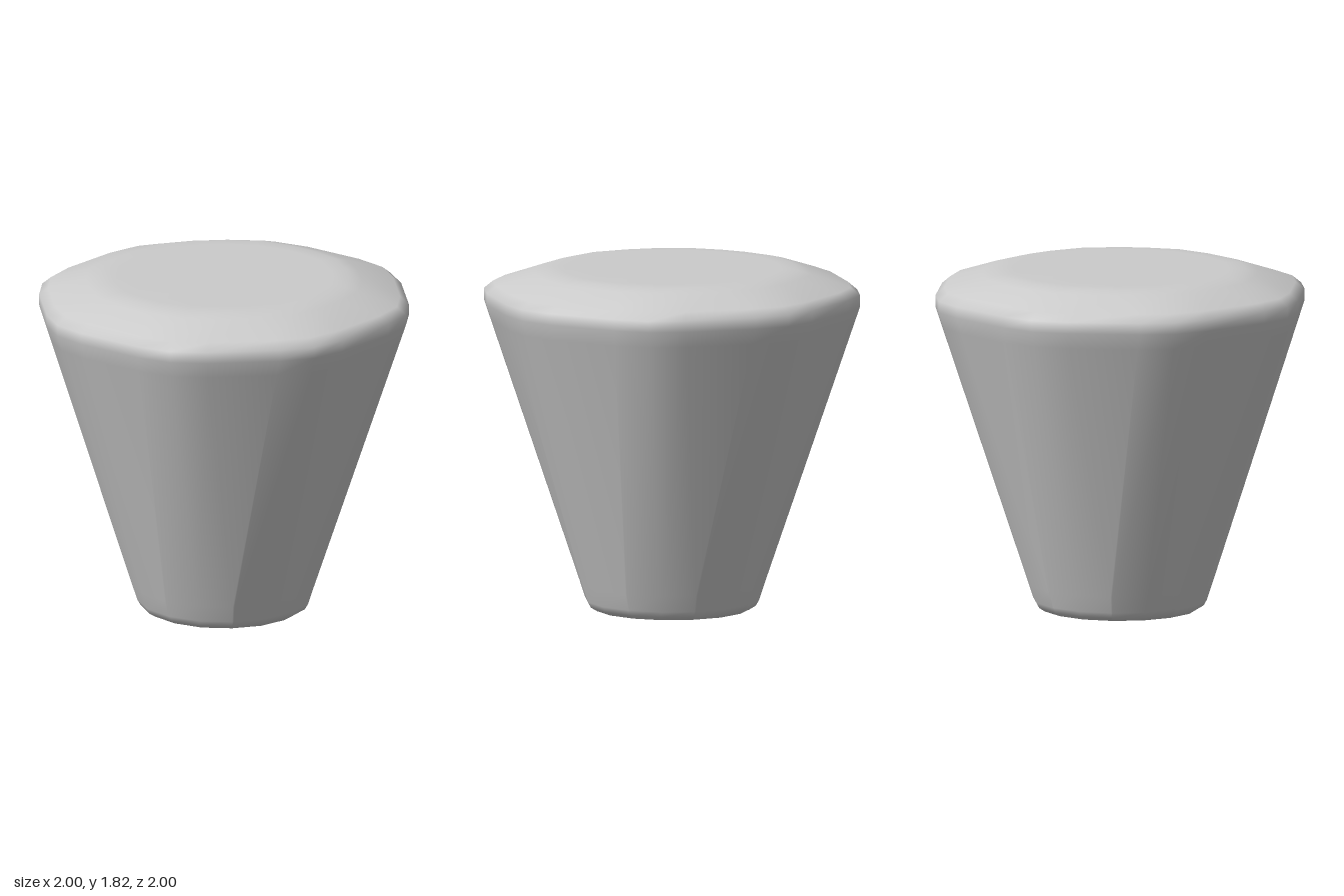
import * as THREE from 'three';

const SIDES = 8, PER = 3, N = SIDES * PER;

// One octagonal ring of circumradius R with rounded corners:
// per corner a point before it, on it, and after it.
function ring(R, y) {
  const t = Math.min(0.205, R * Math.sin(Math.PI / SIDES) * 0.98);
  const dx = t * Math.sin(Math.PI / SIDES), dz = t * Math.cos(Math.PI / SIDES);
  const local = [[R - dx, -dz], [R - dx / 2, 0], [R - dx, dz]];
  const pts = [];
  for (let k = 0; k < SIDES; k++) {
    const a = k * 2 * Math.PI / SIDES, c = Math.cos(a), s = Math.sin(a);
    for (const [x, z] of local) pts.push(x * c - z * s, y, x * s + z * c);
  }
  return pts;
}

// Closed skin through a list of [radius, height] rings, bottom to top
function loftRings(profile) {
  const pos = profile.flatMap(([R, y]) => ring(R, y));
  const idx = [];
  for (let i = 0; i < profile.length - 1; i++) {
    for (let j = 0; j < N; j++) {
      const a = i * N + j, b = i * N + (j + 1) % N;
      idx.push(a, a + N, b, b, a + N, b + N);
    }
  }
  // Centre points closing both ends
  const low = profile.length * N, high = low + 1, last = low - N;
  pos.push(0, profile[0][1], 0, 0, profile[profile.length - 1][1], 0);
  for (let j = 0; j < N; j++) {
    const n = (j + 1) % N;
    idx.push(low, j, n, high, last + n, last + j);
  }
  const g = new THREE.BufferGeometry();
  g.setAttribute('position', new THREE.Float32BufferAttribute(pos, 3));
  g.setIndex(idx);
  g.computeVertexNormals();
  return g;
}

export function createModel() {
  const group = new THREE.Group();
  group.name = 'taperedKnob';
  const material = new THREE.MeshStandardMaterial({ color: 0xcccccc });
  const profile = [
    [0.15, 0.10], [0.36, 0.02], [0.41, 0.0],               // recessed underside
    [0.445, 0.0], [0.48, 0.02], [0.498, 0.05],             // rounded foot
    [0.53, 0.14], [1.01, 1.545], [1.039, 1.63],            // tapered sides
    [1.039, 1.69], [0.99, 1.73],                           // rim
    [0.78, 1.797], [0.71, 1.815], [0.62, 1.818],           // chamfer and flat top
  ];
  const body = new THREE.Mesh(loftRings(profile), material);
  body.name = 'body';
  group.add(body);
  return group;
}
